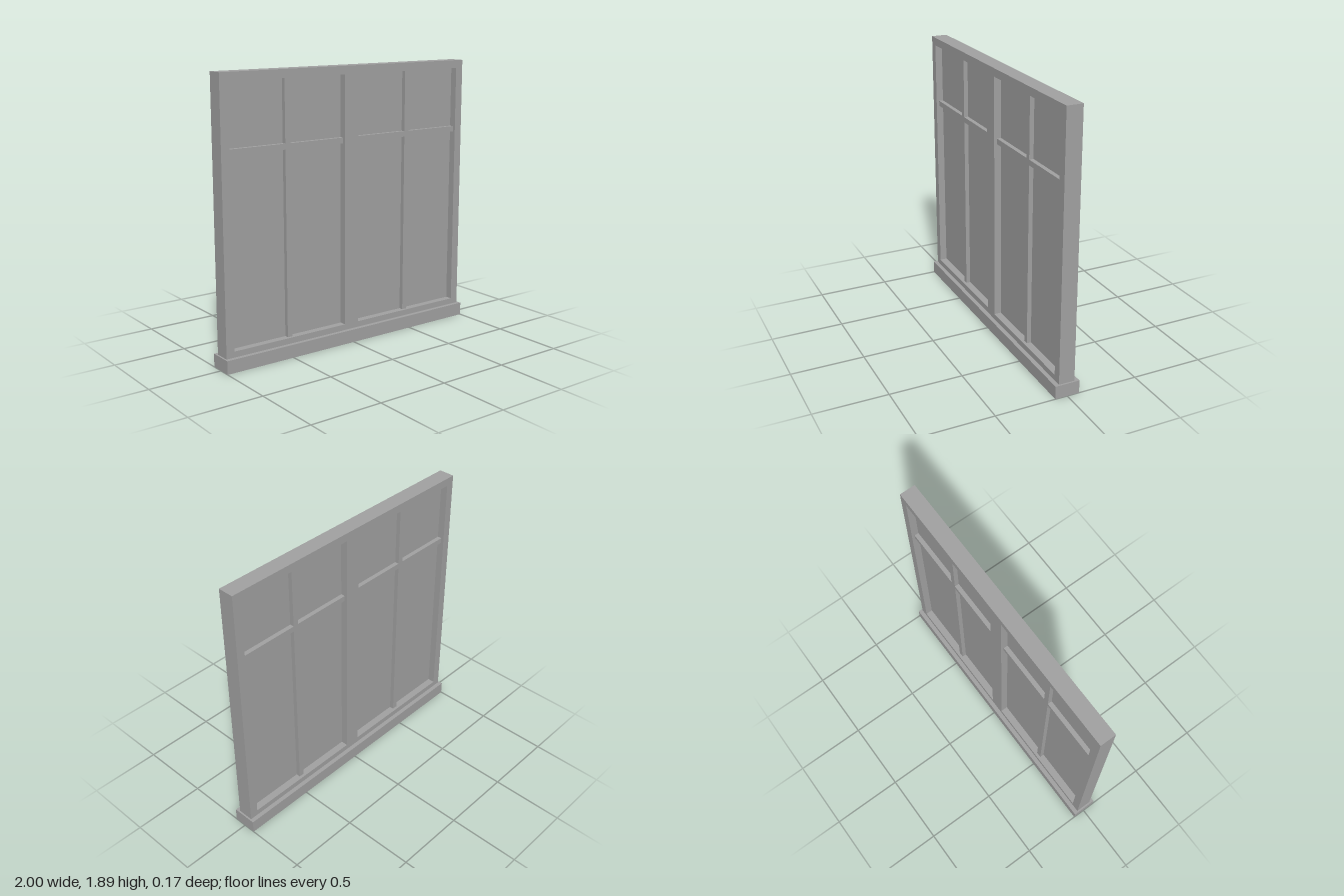
import * as THREE from 'three';

export function createModel() {
  const group = new THREE.Group();
  const grey = new THREE.MeshStandardMaterial({ color: 0xa0a0a0 });
  grey.name = 'grey';

  const add = (name, geometry, x = 0, y = 0, z = 0) => {
    const mesh = new THREE.Mesh(geometry, grey);
    mesh.name = name;
    mesh.position.set(x, y, z);
    group.add(mesh);
  };
  const box = (name, w, h, d, x, y) => add(name, new THREE.BoxGeometry(w, h, d), x, y);
  const rectangle = (path, x0, y0, x1, y1) =>
    path.moveTo(x0, y0).lineTo(x1, y0).lineTo(x1, y1).lineTo(x0, y1).closePath();

  // Sizes of the openings and glazing bars
  const inner = 0.055, outer = 0.93, bottom = 0.13, top = 1.835;
  const barX = 0.4925, barY = 1.4, bar = 0.038, barDepth = 0.07;

  // Projecting sill
  box('sill', 2, 0.09, 0.17, 0, 0.045);

  // Outer frame with two openings
  const outline = new THREE.Shape();
  rectangle(outline, -0.988, 0.09, 0.988, 1.89);
  for (const [x0, x1] of [[-outer, -inner], [inner, outer]]) {
    const hole = new THREE.Path();
    rectangle(hole, x0, bottom, x1, top);
    outline.holes.push(hole);
  }
  add('frame', new THREE.ExtrudeGeometry(outline, { depth: 0.11, bevelEnabled: false }), 0, 0, -0.055);

  // Panes and glazing bars, mirrored left and right
  for (const side of [-1, 1]) {
    const label = side > 0 ? 'left' : 'right';
    const midX = side * (inner + outer) / 2;
    box(label + 'Pane', outer - inner, top - bottom, 0.01, midX, (bottom + top) / 2);
    box(label + 'VerticalBar', bar, top - bottom, barDepth, side * barX, (bottom + top) / 2);
    // Crossbar in two lengths meeting the vertical bar
    for (const [a, b, part] of [[inner, barX - bar / 2, 'Inner'], [barX + bar / 2, outer, 'Outer']]) {
      box(label + part + 'Crossbar', b - a, bar, barDepth, side * (a + b) / 2, barY);
    }
  }
  return group;
}
